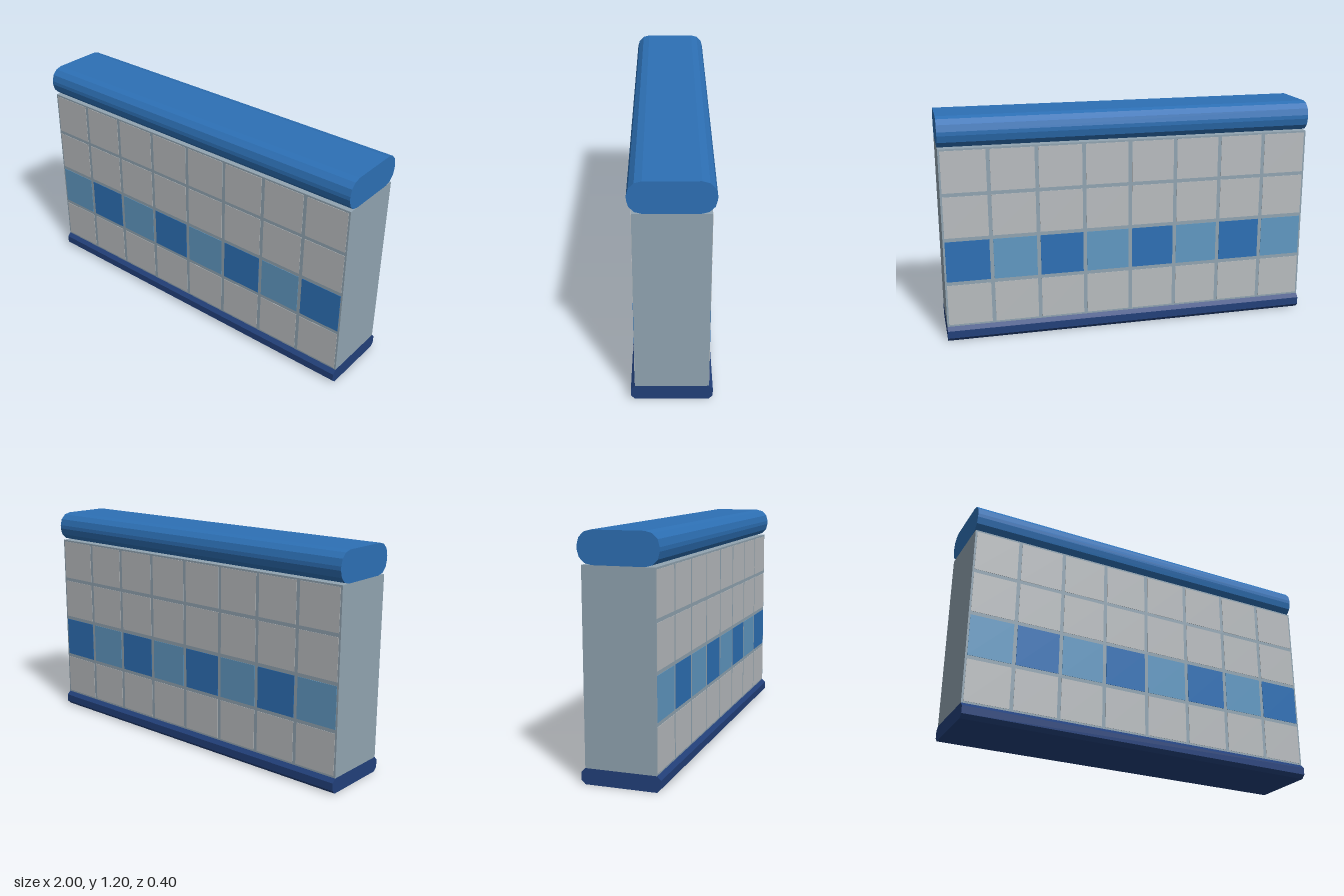
import * as THREE from 'three';

const material = (name, color) => {
  const m = new THREE.MeshStandardMaterial({ color });
  m.name = name;
  return m;
};

// Bar along x whose end profile is a rectangle with rounded or chamfered corners
function createBar(name, depth, y0, y1, r, segments, mat) {
  const points = [];
  const corners = [[1, 1], [-1, 1], [-1, -1], [1, -1]];
  corners.forEach(([sx, sy], q) => {
    const cx = sx * (depth / 2 - r);
    const cy = sy > 0 ? y1 - r : y0 + r;
    for (let i = 0; i <= segments; i++) {
      const a = (q + i / segments) * Math.PI / 2;
      points.push(new THREE.Vector2(cx + r * Math.cos(a), cy + r * Math.sin(a)));
    }
  });
  const geometry = new THREE.ExtrudeGeometry(new THREE.Shape(points), { depth: 2, bevelEnabled: false });
  geometry.translate(0, 0, -1).rotateY(Math.PI / 2);
  const mesh = new THREE.Mesh(geometry, mat);
  mesh.name = name;
  return mesh;
}

export function createModel() {
  const group = new THREE.Group();
  group.name = 'tiledWall';

  const capBlue = material('capBlue', 0x2d70b5);
  const baseNavy = material('baseNavy', 0x22407a);
  const grout = material('groutGrey', 0x91a4b1);
  const tileGrey = material('tileGrey', 0xb8bcbf);
  const tileLight = material('tileLightBlue', 0x6098c2);

  // Wall core, base plinth and rounded coping
  const core = new THREE.Mesh(new THREE.BoxGeometry(2, 0.96, 0.36), grout);
  core.position.y = 0.56;
  core.name = 'wallCore';
  group.add(core);
  group.add(createBar('basePlinth', 0.4, 0, 0.08, 0.02, 1, baseNavy));
  group.add(createBar('coping', 0.4, 1.04, 1.2, 0.07, 3, capBlue));

  // Tiles on both faces, with one row of alternating blues
  const tileGeometry = new THREE.BoxGeometry(0.23, 0.22, 0.004);
  for (const side of [1, -1]) {
    const tiles = new THREE.Group();
    tiles.name = side > 0 ? 'frontTiles' : 'backTiles';
    for (let row = 0; row < 4; row++) {
      for (let col = 0; col < 8; col++) {
        const blue = col % 2 ? capBlue : tileLight;
        const tile = new THREE.Mesh(tileGeometry, row === 1 ? blue : tileGrey);
        tile.position.set(-0.875 + col * 0.25, 0.2 + row * 0.24, side * 0.18);
        tile.name = 'tile';
        tiles.add(tile);
      }
    }
    group.add(tiles);
  }
  return group;
}
